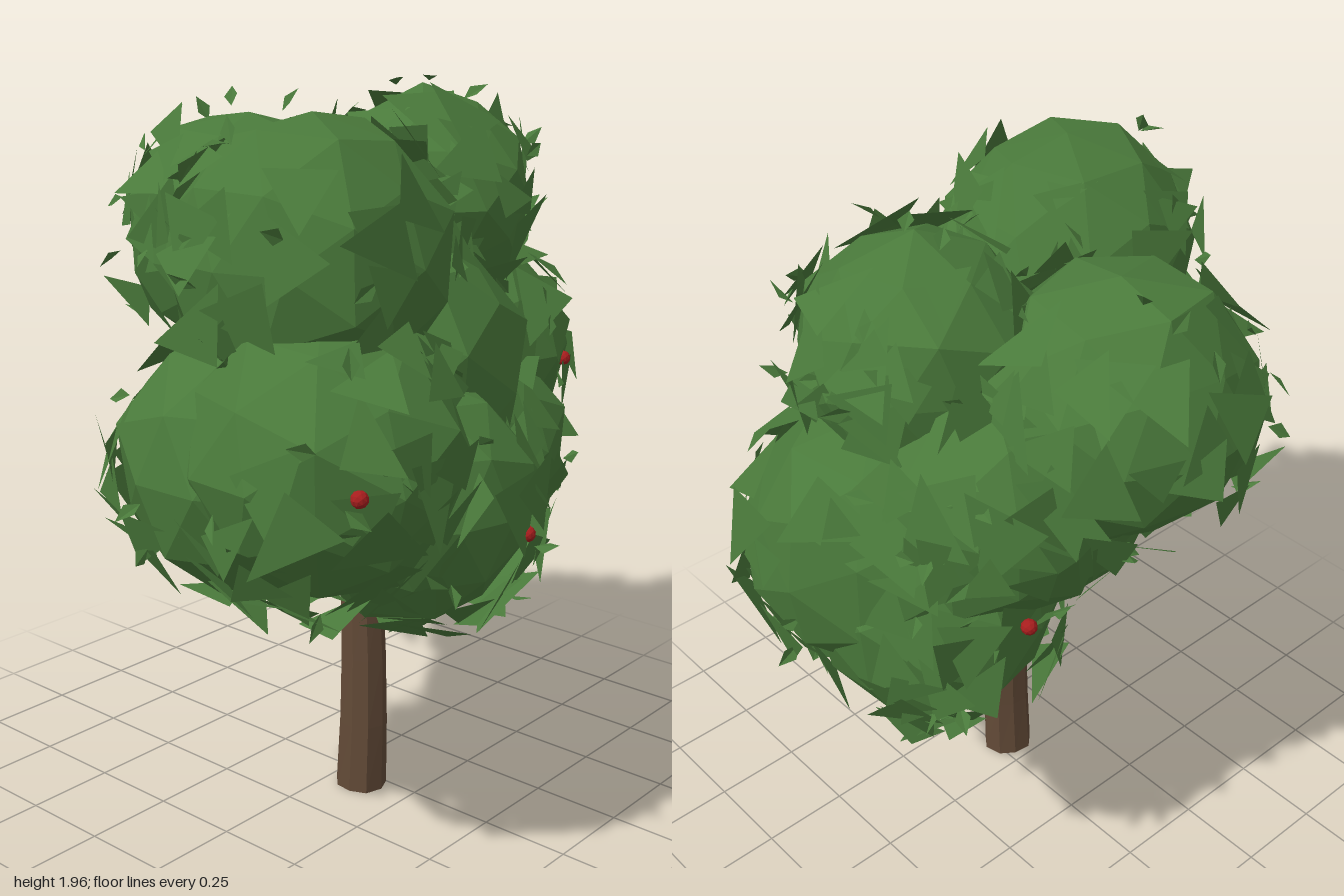
import * as THREE from 'three';
import { mergeGeometries } from 'three/addons/utils/BufferGeometryUtils.js';

const V = (x, y, z) => new THREE.Vector3(x, y, z);

function makeRandom(seed) {
  return () => {
    seed = (seed * 1664525 + 1013904223) % 4294967296;
    return seed / 4294967296;
  };
}

// Leaf clumps: x, y, z, radius
const CLUMPS = [
  [-0.36, 1.58, 0.20, 0.36],  // upper, left of front
  [0.31, 1.63, 0.0, 0.31],    // upper, right of front
  [0.01, 1.53, -0.37, 0.36],  // upper back
  [0.30, 1.31, -0.24, 0.32],  // middle back
  [-0.47, 1.12, 0.33, 0.37],
  [-0.47, 1.07, 0.10, 0.35],
  [-0.18, 0.96, 0.37, 0.33],
  [0.47, 1.19, -0.02, 0.35],
  [0.41, 1.02, -0.14, 0.34],
  [0.36, 0.96, 0.13, 0.30],
];
const CORE = [0.01, 1.18, 0.05, 0.45];

const BERRIES = [
  [-0.70, 1.14, 0.64], [-0.13, 0.92, 0.69], [0.63, 1.16, 0.28], [0.32, 1.36, 0.28], [0.40, 0.69, 0.18],
  [0.38, 1.09, -0.47], [0.57, 0.83, -0.18], [-0.53, 1.40, 0.18], [-0.31, 0.85, -0.13], [-0.20, 1.475, -0.155],
];

export function createModel() {
  const rnd = makeRandom(11);
  const spread = (a) => (rnd() * 2 - 1) * a;
  const bark = new THREE.MeshStandardMaterial({ color: 0x624a37 });
  const leafGreen = new THREE.MeshStandardMaterial({ color: 0x4a7a3b, side: THREE.DoubleSide });
  const berryRed = new THREE.MeshStandardMaterial({ color: 0xa81e1e });

  const tree = new THREE.Group();
  tree.name = 'tree';
  const add = (name, geometry, material) => {
    const mesh = new THREE.Mesh(geometry, material);
    mesh.name = name;
    tree.add(mesh);
    return mesh;
  };
  const flat = (geometry) => {
    const g = geometry.index ? geometry.toNonIndexed() : geometry;
    g.computeVertexNormals();
    return g;
  };

  // Tapered limb between two points
  const limb = (a, b, r0, r1, sides) => {
    const g = new THREE.CylinderGeometry(r1, r0, a.distanceTo(b), sides);
    const turn = new THREE.Quaternion().setFromUnitVectors(V(0, 1, 0), b.clone().sub(a).normalize());
    g.applyQuaternion(turn);
    const mid = a.clone().add(b).multiplyScalar(0.5);
    return flat(g.translate(mid.x, mid.y, mid.z));
  };

  // Trunk: slightly bowed rings with ridged sides
  const trunk = new THREE.CylinderGeometry(0.06, 0.073, 0.6, 9, 3);
  const tp = trunk.attributes.position;
  for (let i = 0; i < tp.count; i++) {
    const h = tp.getY(i) / 0.6 + 0.5;
    const angle = Math.atan2(tp.getZ(i), tp.getX(i));
    const k = 1 + 0.05 * Math.cos(angle * 3 + h);
    const bow = Math.sin(h * Math.PI) * 0.008;
    tp.setXYZ(i, tp.getX(i) * k - 0.045, h * 0.6 + 0.005, tp.getZ(i) * k + 0.092 + bow);
  }
  add('trunk', flat(trunk), bark);

  // Branches forking into the crown
  const fork = V(-0.045, 0.57, 0.09);
  const rightBend = V(0.12, 0.80, 0.09);
  const leftBend = V(-0.16, 0.76, 0.17);
  const elbow = V(-0.085, 0.84, -0.17);
  const knee = V(-0.18, 1.13, -0.36);
  const branches = [
    [fork, rightBend, 0.042, 0.03],
    [rightBend, V(0.40, 1.10, 0.03), 0.03, 0.015],
    [fork, leftBend, 0.042, 0.03],
    [leftBend, V(-0.42, 1.10, 0.25), 0.03, 0.015],
    [fork, elbow, 0.045, 0.03],
    [elbow, knee, 0.03, 0.024],
    [knee, V(-0.12, 1.45, -0.40), 0.024, 0.015],
  ];
  add('branches', mergeGeometries(branches.map((b) => limb(...b, 6))), bark);

  // Faceted ball with slightly uneven corners
  const ball = ([x, y, z, r], turn) => {
    const g = new THREE.IcosahedronGeometry(r, 1);
    const p = g.attributes.position;
    for (let i = 0; i < p.count; i++) {
      const [a, b, c] = [p.getX(i) / r, p.getY(i) / r, p.getZ(i) / r];
      const k = 1 + 0.045 * Math.sin(a * 7.1 + b * 5.3 + c * 9.7 + turn * 4);
      p.setXYZ(i, p.getX(i) * k, p.getY(i) * k, p.getZ(i) * k);
    }
    g.rotateY(turn);
    return flat(g.translate(x, y, z));
  };
  add('crownCore', ball(CORE, 0.3), leafGreen);

  const buried = (p, own) => CLUMPS.some((c, i) => i !== own && p.distanceTo(V(c[0], c[1], c[2])) < c[3] * 0.96);
  const outward = () => {
    const y = spread(1), a = rnd() * Math.PI * 2, s = Math.sqrt(1 - y * y);
    return V(s * Math.cos(a), y, s * Math.sin(a));
  };
  const triangles = (points) => {
    const g = new THREE.BufferGeometry().setFromPoints(points);
    g.computeVertexNormals();
    return g;
  };

  CLUMPS.forEach((clump, index) => {
    const [x, y, z, r] = clump;
    const centre = V(x, y, z);
    add('leafClump', ball([x, y, z, r * 0.97], index * 0.7), leafGreen);

    // Ragged foliage plates hugging the clump
    const plates = [];
    for (let i = 0; i < 75; i++) {
      const n = outward();
      const p = centre.clone().addScaledVector(n, r * (0.96 + rnd() * 0.09));
      if (n.y > 0.8 || buried(p, index)) continue;
      const tilted = n.clone().add(V(spread(0.35), spread(0.35), spread(0.35))).normalize();
      const u = V(spread(1), spread(1), spread(1)).cross(tilted).normalize();
      const w = tilted.clone().cross(u);
      const size = 0.075 + rnd() * 0.06;
      for (let k = 0; k < 3; k++) {
        const a = k * 2.094 + spread(0.45);
        plates.push(p.clone().addScaledVector(u, Math.cos(a) * size).addScaledVector(w, Math.sin(a) * size));
      }
    }
    add('foliagePlates', triangles(plates), leafGreen);

    // Small folded leaves sticking out
    const leaves = [];
    for (let i = 0; i < 20; i++) {
      const n = outward();
      const p = centre.clone().addScaledVector(n, r * 1.03);
      if (buried(p, index)) continue;
      const along = n.clone().multiplyScalar(0.5).add(V(spread(1), spread(1), spread(1))).normalize();
      const side = along.clone().cross(n).normalize();
      const fold = side.clone().cross(along);
      const tip = p.clone().addScaledVector(along, 0.075);
      const mid = p.clone().addScaledVector(along, 0.033);
      for (const s of [-1, 1]) {
        const edge = mid.clone().addScaledVector(side, 0.02 * s).addScaledVector(fold, 0.008);
        leaves.push(p, edge, tip);
      }
    }
    add('smallLeaves', triangles(leaves), leafGreen);
  });

  // Berries
  const berry = flat(new THREE.IcosahedronGeometry(0.021, 1));
  for (const [x, y, z] of BERRIES) add('berry', berry, berryRed).position.set(x, y, z);

  return tree;
}
